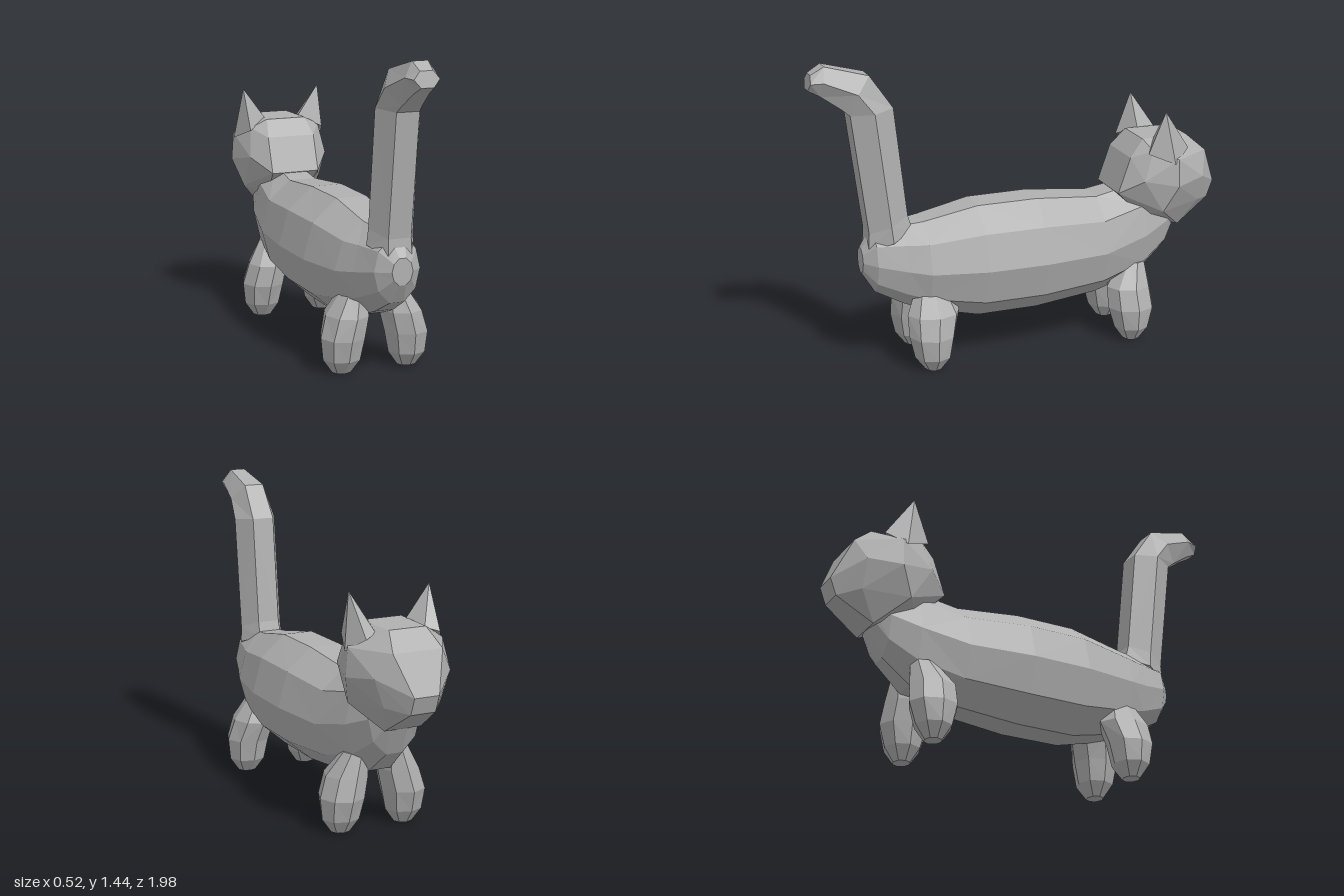
import * as THREE from 'three';
import { ConvexGeometry } from 'three/addons/geometries/ConvexGeometry.js';

const V = (x, y, z) => new THREE.Vector3(x, y, z);

// Ring of n points around c, spanned by the half axes u and v
function ring(c, u, v, n, offset = 0) {
  return Array.from({ length: n }, (_, i) => {
    const t = ((i + offset) / n) * Math.PI * 2;
    return c.clone().addScaledVector(u, Math.cos(t)).addScaledVector(v, Math.sin(t));
  });
}

// Capped skin over rings that advance along u x v
function loft(rings) {
  const n = rings[0].length;
  const points = rings.flat();
  const index = [];
  for (let r = 0; r < rings.length - 1; r++) {
    for (let i = 0; i < n; i++) {
      const a = r * n + i, b = r * n + ((i + 1) % n);
      if ((r + i) % 2) index.push(a, b, b + n, a, b + n, a + n);
      else index.push(a, b, a + n, b, b + n, a + n);
    }
  }
  const last = (rings.length - 1) * n;
  for (let i = 1; i < n - 1; i++) {
    index.push(0, i + 1, i);
    index.push(last, last + i, last + i + 1);
  }
  const geometry = new THREE.BufferGeometry().setFromPoints(points);
  geometry.setIndex(index);
  geometry.computeVertexNormals();
  return geometry;
}

// Mirrors a list of points across x = 0
const mirrored = (list) => list.flatMap(([x, y, z]) => [V(x, y, z), V(-x, y, z)]);

export function createModel() {
  const group = new THREE.Group();
  const fur = new THREE.MeshStandardMaterial({ color: 0xb0b0b0, flatShading: true });
  fur.name = 'grey fur';
  const add = (name, geometry) => {
    const mesh = new THREE.Mesh(geometry, fur);
    mesh.name = name;
    group.add(mesh);
  };

  // Body from chest to rump: z, bottom, top, half width
  const body = [
    [-0.8, 0.54, 0.7, 0.08], [-0.73, 0.4, 0.74, 0.13], [-0.6, 0.29, 0.75, 0.175],
    [-0.38, 0.23, 0.71, 0.215], [-0.07, 0.2, 0.74, 0.245], [0.22, 0.2, 0.74, 0.24],
    [0.48, 0.26, 0.69, 0.195], [0.58, 0.3, 0.68, 0.155], [0.71, 0.37, 0.66, 0.11],
    [0.765, 0.46, 0.58, 0.05],
  ];
  add('body', loft(body.map(([z, lo, hi, w]) =>
    ring(V(0, (lo + hi) / 2, z), V(w, 0, 0), V(0, (hi - lo) / 1.9, 0), 10))));

  // Head with broad cheeks and a blunt muzzle
  add('head', new ConvexGeometry(mirrored([
    [0.12, 0.73, -0.47], [0.12, 0.9, -0.53], [0.1, 0.98, -0.6], [0.2, 0.8, -0.57],
    [0.18, 0.94, -0.62], [0.242, 0.77, -0.73], [0.232, 0.9, -0.73], [0.2, 0.64, -0.67],
    [0.1, 0.6, -0.6], [0.09, 0.53, -0.8], [0.06, 0.64, -0.97], [0.06, 0.72, -1],
    [0.185, 0.79, -0.88], [0.14, 0.66, -0.88], [0.12, 0.9, -0.92], [0.09, 0.98, -0.83],
  ])));

  // Legs, top to paw: y, x, z, half width, half depth
  const rearLeg = [
    [0.37, 0.1, 0.46, 0.06, 0.08], [0.27, 0.13, 0.46, 0.1, 0.125],
    [0.17, 0.155, 0.475, 0.105, 0.11], [0.07, 0.16, 0.475, 0.09, 0.088], [0.006, 0.16, 0.475, 0.045, 0.04],
  ];
  const frontLeg = [
    [0.38, 0.1, -0.56, 0.06, 0.06], [0.27, 0.13, -0.525, 0.1, 0.11],
    [0.17, 0.155, -0.53, 0.105, 0.115], [0.07, 0.16, -0.53, 0.09, 0.085], [0.006, 0.16, -0.53, 0.045, 0.04],
  ];
  for (const [side, s] of [['left', 1], ['right', -1]]) {
    for (const [name, rows] of [['RearLeg', rearLeg], ['FrontLeg', frontLeg]]) {
      add(side + name, loft(rows.map(([y, x, z, w, d]) =>
        ring(V(s * x, y, z), V(w, 0, 0), V(0, 0, d), 8, 0.0))));
    }
    // Pointed ear
    add(side + 'Ear', new ConvexGeometry([
      [0.198, 1.13, -0.67], [0.236, 0.88, -0.71], [0.09, 0.98, -0.66],
      [0.19, 0.93, -0.59], [0.18, 0.94, -0.8], [0.12, 0.96, -0.77],
    ].map(([x, y, z]) => V(s * x, y, z))));
  }

  // Tail with a bent tip: underside y, z, then back y, z, and half width
  const tail = [
    [0.58, 0.74, 0.66, 0.53, 0.105], [0.66, 0.735, 0.73, 0.55, 0.1],
    [1.22, 0.805, 1.24, 0.605, 0.1], [1.25, 0.84, 1.395, 0.71, 0.09],
    [1.315, 0.93, 1.45, 0.91, 0.068], [1.345, 0.985, 1.415, 0.97, 0.055],
  ];
  add('tail', loft(tail.map(([y0, z0, y1, z1, w]) => ring(
    V(0, (y0 + y1) / 2, (z0 + z1) / 2), V(w * 1.08, 0, 0),
    V(0, (y1 - y0) / 1.75, (z1 - z0) / 1.75), 6))));

  return group;
}
